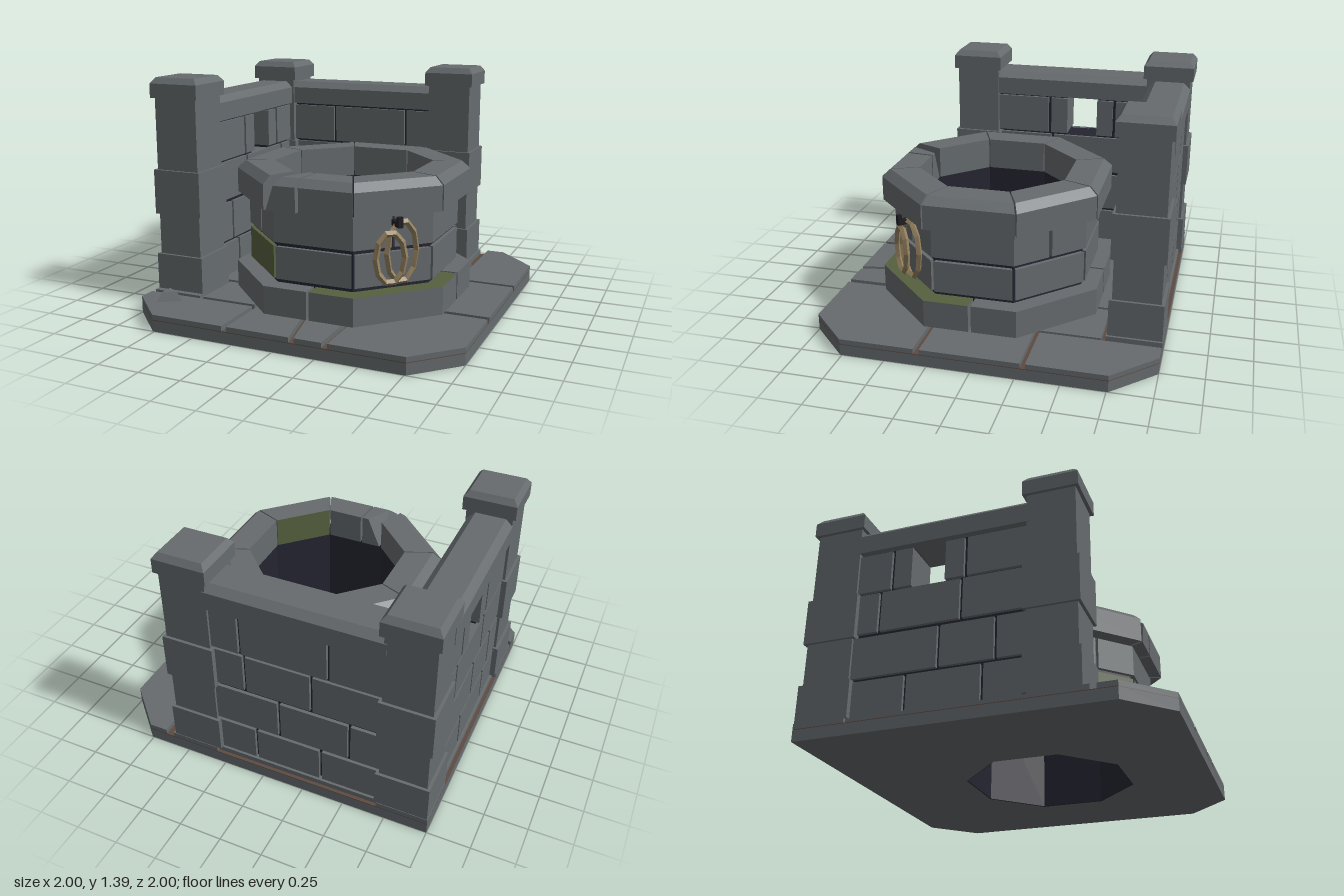
import * as THREE from 'three';

const CX = 0.085, CZ = 0.075; // centre of the well

export function createModel() {
  const mat = (name, color) => Object.assign(new THREE.MeshStandardMaterial({ color }), { name });
  const stone = mat('stone', 0x666b6e);
  const moss = mat('moss', 0x56613f);
  const mortar = mat('mortar', 0x252532);
  const dirt = mat('dirt', 0x5e4a3f);
  const rope = mat('rope', 0x94815f);
  const iron = mat('iron', 0x1d1d24);

  const root = new THREE.Group();
  root.name = 'walledWell';
  const group = (name, parent = root) => {
    const g = new THREE.Group();
    g.name = name;
    parent.add(g);
    return g;
  };
  const add = (parent, name, geometry, material) => {
    const m = new THREE.Mesh(geometry, material);
    m.name = name;
    parent.add(m);
    return m;
  };

  // Box from its limits; the top can be drawn in to make a bevel
  const box = (parent, name, [x0, x1], [y0, y1], [z0, z1], material, insetX = 0, insetZ = 0) => {
    const g = new THREE.BoxGeometry(x1 - x0, y1 - y0, z1 - z0);
    const p = g.attributes.position;
    for (let i = 0; i < p.count; i++) {
      if (p.getY(i) < 0) continue;
      p.setX(i, p.getX(i) - Math.sign(p.getX(i)) * insetX);
      p.setZ(i, p.getZ(i) - Math.sign(p.getZ(i)) * insetZ);
    }
    g.computeVertexNormals();
    g.translate((x0 + x1) / 2, (y0 + y1) / 2, (z0 + z1) / 2);
    return add(parent, name, g, material);
  };

  // Point on an octagon: whole t is a corner, fractions lie along a face
  const corner = (k, ap) => {
    const a = (k + 0.5) * Math.PI / 4, r = ap / Math.cos(Math.PI / 8);
    return [CX + r * Math.cos(a), CZ + r * Math.sin(a)];
  };
  const octPoint = (t, ap, y) => {
    const k = Math.floor(t), f = t - k, a = corner(k, ap), b = corner(k + 1, ap);
    return [a[0] + (b[0] - a[0]) * f, y, a[1] + (b[1] - a[1]) * f];
  };

  // Sweep a convex profile of [apothem, y] points round the octagon from t0 to t1.
  // startShift moves the first end per profile point; mossEdge paints one side.
  const sweep = (parent, name, profile, t0, t1, material, { mossEdge = -1, endShift = [] } = {}) => {
    const ts = [t0];
    for (let k = Math.floor(t0) + 1; k < t1 - 1e-6; k++) ts.push(k);
    ts.push(t1);
    const P = (s, j) => {
      const q = j % profile.length;
      const shift = s === ts.length - 1 ? endShift[q] || 0 : 0;
      return octPoint(ts[s] - shift, ...profile[q]);
    };
    const v = [], g = new THREE.BufferGeometry(), n = profile.length;
    for (let j = 0; j < n; j++) {
      const start = v.length;
      for (let s = 0; s < ts.length - 1; s++) {
        const a = P(s, j), b = P(s, j + 1), c = P(s + 1, j + 1), d = P(s + 1, j);
        v.push(a, b, c, a, c, d);
      }
      g.addGroup(start, v.length - start, j === mossEdge ? 1 : 0);
    }
    const capStart = v.length, last = ts.length - 1;
    for (let j = 1; j < n - 1; j++) {
      v.push(P(0, 0), P(0, j + 1), P(0, j), P(last, 0), P(last, j), P(last, j + 1));
    }
    g.addGroup(capStart, v.length - capStart, 0);
    g.setAttribute('position', new THREE.Float32BufferAttribute(v.flat(), 3));
    g.computeVertexNormals();
    return add(parent, name, g, mossEdge < 0 ? material : [material, moss]);
  };
  const ringProfile = (inner, outer, y0, y1) => [[inner, y0], [outer, y0], [outer, y1], [inner, y1]];

  // Flat polygon in x, z raised between two heights
  const prism = (parent, name, points, y0, y1, material, hole) => {
    const shape = new THREE.Shape(points.map(([x, z]) => new THREE.Vector2(x, -z)));
    if (hole) shape.holes.push(new THREE.Path(hole.map(([x, z]) => new THREE.Vector2(x, -z))));
    const g = new THREE.ExtrudeGeometry(shape, { depth: y1 - y0, bevelEnabled: false });
    g.rotateX(-Math.PI / 2).translate(0, y0, 0);
    return add(parent, name, g, material);
  };

  // Foundation with a dirt bed and paving slabs
  const paving = group('paving');
  const outline = [[-1, -1], [0.76, -1], [1, -0.76], [1, 0.76], [0.76, 1], [-0.76, 1], [-1, 0.76]];
  const hole = [...Array(8).keys()].map(k => corner(k, 0.455));
  prism(paving, 'foundation', outline, 0, 0.066, stone, hole);
  prism(paving, 'dirtBed', outline, 0.066, 0.07, dirt, hole);
  const slabs = [
    [[0.65, -1], [0.76, -1], [1, -0.76], [1, -0.31], [0.65, -0.31]],
    [[0.29, -0.66], [0.63, -0.66], [0.63, -0.3], [0.48, -0.3], [0.31, -0.475], [0.29, -0.475]],
    [[0.5, -0.28], [1, -0.28], [1, 0.29], [0.635, 0.29], [0.635, -0.15]],
    [[0.325, 0.61], [0.61, 0.325], [1, 0.325], [1, 0.76], [0.76, 1], [0.325, 1]],
    [[0.05, 0.625], [0.29, 0.625], [0.29, 1], [0.13, 1]],
    [[-0.28, 0.485], [-0.14, 0.625], [0.02, 0.625], [0.1, 1], [-0.28, 1]],
    [[-1, 0.655], [-0.31, 0.655], [-0.31, 1], [-0.76, 1], [-1, 0.76]],
    [[-0.655, 0.31], [-0.46, 0.31], [-0.31, 0.46], [-0.31, 0.625], [-0.655, 0.625]],
    [[-1, -1], [-0.7, -1], [-0.7, -0.98], [0.3, -0.98], [0.3, -1], [0.6, -1], [0.6, -0.68], [0.27, -0.68],
      [0.27, -0.475], [-0.14, -0.475], [-0.465, -0.15], [-0.465, 0.28], [-0.685, 0.28], [-0.685, 0.62],
      [-1, 0.62], [-1, 0.3], [-0.98, 0.3], [-0.98, -0.7], [-1, -0.7]],
  ];
  slabs.forEach((s, i) => prism(paving, 'slab' + (i + 1), s, 0.07, 0.1, stone));

  // Loose three-sided rock
  const rock = new THREE.CylinderGeometry(0.05, 0.088, 0.055, 3).toNonIndexed();
  rock.computeVertexNormals();
  rock.rotateY(Math.PI / 2).translate(-0.815, 0.127, 0.74);
  add(root, 'looseRock', rock, stone);

  // Well shaft and its courses of blocks
  const well = group('well');
  sweep(well, 'shaft', ringProfile(0.45, 0.56, 0.002, 0.705), 0, 8, mortar);
  for (let k = 0; k < 4; k++) {
    const t = 2 * k;
    sweep(well, 'footing', ringProfile(0.47, 0.66, 0.1, 0.265), t - 0.485, t + 1.485, stone, { mossEdge: k ? -1 : 2 });
    sweep(well, 'upperCourse', ringProfile(0.47, 0.583, 0.505, 0.69), t + 0.52, t + 2.48, stone);
  }
  for (let k = 0; k < 8; k++) {
    sweep(well, 'lowerCourse', ringProfile(0.47, 0.583, 0.29, 0.48), k + 0.02, k + 0.98, k === 2 ? moss : stone);
  }

  // Rim stones, one of them split and chipped
  const rim = group('rim', well);
  const rimProfile = [[0.44, 0.7], [0.648, 0.7], [0.648, 0.845], [0.6, 0.89], [0.44, 0.89]];
  for (let k = 0; k < 8; k++) {
    if (k === 1) continue;
    sweep(rim, 'rimStone', rimProfile, k + 0.01, k + 0.99, stone, { mossEdge: k ? -1 : 4 });
  }
  sweep(rim, 'splitRimStone', rimProfile, 1.01, 1.605, stone);
  sweep(rim, 'chippedRimStone', rimProfile, 1.64, 1.99, stone, { endShift: [0.02, 0.01, 0.1, 0.14, 0.24] });

  // Iron hook and coiled rope
  const hook = group('hook', well);
  hook.position.set(0.5, 0.65, 0.49);
  hook.rotation.y = Math.PI / 4;
  box(hook, 'hookShank', [-0.015, 0.015], [-0.015, 0.015], [-0.03, 0.09], iron);
  box(hook, 'hookTip', [-0.015, 0.015], [0.015, 0.045], [0.065, 0.09], iron);
  const coils = [[0.545, 0.485, 0.485, 0.095, 0.175, 0.1], [0.505, 0.46, 0.555, 0.085, 0.145, -0.1]];
  for (const [x, y, z, rx, ry, yaw] of coils) {
    const loop = new THREE.TorusGeometry(ry, 0.019, 4, 10);
    const p = loop.attributes.position;
    for (let i = 0; i < p.count; i++) {
      const px = p.getX(i), py = p.getY(i), d = Math.hypot(px, py);
      p.setX(i, px / d * (rx - ry + d)); // narrows the loop but keeps its thickness
    }
    const flat = loop.toNonIndexed();
    flat.computeVertexNormals();
    const m = add(well, 'ropeCoil', flat, rope);
    m.position.set(x, y, z);
    m.rotation.y = Math.PI / 4 + yaw;
  }

  // Corner posts
  const post = (name, x, z) => {
    const g = group(name);
    const part = (n, h, y, inset = 0) =>
      box(g, n, [x - h, x + h], y, [z - h, z + h], stone, inset, inset);
    part('postBlock', 0.155, [0.1, 0.32]);
    part('postBlock', 0.138, [0.32, 0.57]);
    part('postBlock', 0.155, [0.57, 0.84]);
    part('postBlock', 0.138, [0.84, 1.27]);
    part('postCap', 0.158, [1.27, 1.355]);
    part('postCapBevel', 0.158, [1.355, 1.39], 0.027);
  };
  post('cornerPost', -0.842, -0.842);
  post('backPost', 0.43, -0.842);
  post('frontPost', -0.842, 0.43);

  // Brick walls: u runs along the wall, the thickness is centred on -0.85
  const wall = (name, alongX, courses, cores) => {
    const g = group(name);
    const piece = (n, u, y, half, material, inset = 0) => {
      const w = [-0.85 - half, -0.85 + half];
      if (alongX) box(g, n, u, y, w, material, 0, inset);
      else box(g, n, w, y, u, material, inset, 0);
    };
    cores.forEach(([u, y]) => piece('mortarCore', u, y, 0.095, mortar));
    const rows = [[0.1, 0.31], [0.33, 0.57], [0.595, 0.835], [0.85, 1.09]];
    courses.forEach((course, i) => course.forEach(u => piece('brick', u, rows[i], 0.115, stone)));
    piece('coping', [-0.72, 0.31], [1.105, 1.215], 0.133, stone);
    piece('copingBevel', [-0.72, 0.31], [1.215, 1.255], 0.133, stone, 0.042);
  };
  const bricks = (...joints) => {
    const ends = [-0.72, ...joints, 0.31];
    return ends.slice(1).map((e, i) => [ends[i] + (i ? 0.009 : 0), e - 0.009]);
  };
  wall('backWall', true,
    [bricks(-0.35, 0.05), bricks(-0.52, -0.1), bricks(-0.3, 0.1), bricks(-0.4, 0.12)],
    [[[-0.72, 0.31], [0.1, 1.11]]]);
  wall('sideWall', false,
    [bricks(-0.38, 0.05), bricks(-0.2, 0.12), bricks(-0.56, -0.08),
      [[-0.72, -0.505], [-0.485, -0.38], [-0.18, -0.07], [-0.05, 0.31]]],
    [[[-0.72, 0.31], [0.1, 0.835]], [[-0.72, -0.385], [0.835, 1.11]], [[-0.175, 0.31], [0.835, 1.11]]]);

  return root;
}
